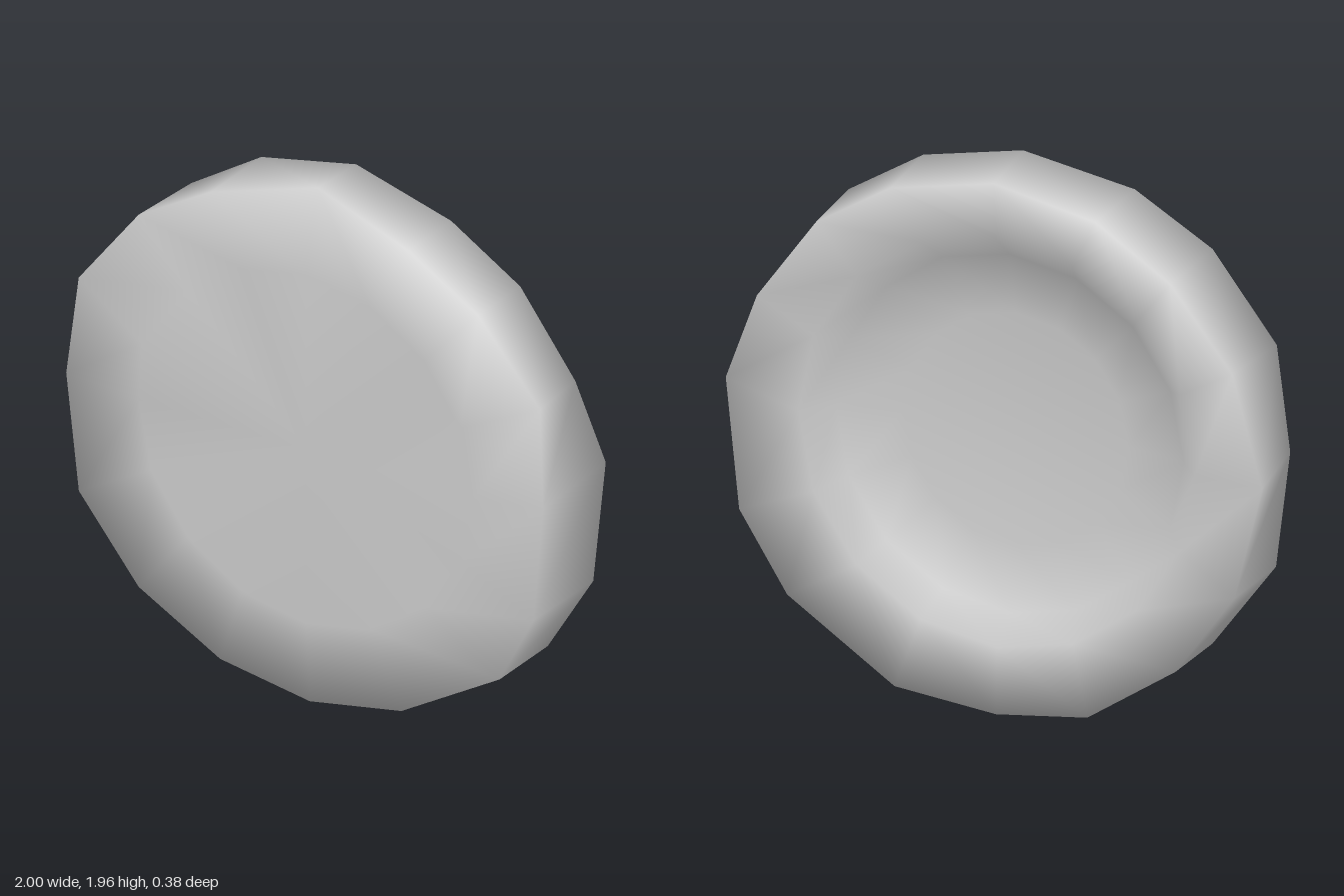
import * as THREE from 'three';

const SIDES = 16, MID = 0.98;

// Uneven hand-shaped outlines, counter-clockwise from +x: x, y, z
const frontEdge = [
  [0.95, 1.02, 0.13], [0.92, 1.38, 0.10], [0.69, 1.69, 0.13], [0.41, 1.86, 0.13],
  [0.01, 1.96, 0.07], [-0.38, 1.86, 0.13], [-0.67, 1.69, 0.13], [-0.91, 1.38, 0.13],
  [-0.96, 1.00, 0.13], [-0.90, 0.57, 0.145], [-0.67, 0.26, 0.13], [-0.35, 0.07, 0.12],
  [0.00, 0.00, 0.105], [0.37, 0.07, 0.11], [0.77, 0.31, 0.12], [0.90, 0.57, 0.11],
];
const backEdge = [
  [1.00, 1.07, -0.19], [0.90, 1.37, -0.155], [0.68, 1.67, -0.155], [0.40, 1.84, -0.16],
  [0.00, 1.93, -0.19], [-0.38, 1.85, -0.19], [-0.66, 1.67, -0.19], [-0.88, 1.37, -0.165],
  [-1.00, 0.98, -0.185], [-0.90, 0.57, -0.19], [-0.67, 0.26, -0.17], [-0.35, 0.05, -0.19],
  [0.00, 0.00, -0.17], [0.37, 0.05, -0.19], [0.78, 0.31, -0.17], [0.95, 0.60, -0.19],
];

// Regular loop of the same number of sides
function ring(radius, z) {
  return Array.from({ length: SIDES }, (_, i) => {
    const a = (i / SIDES) * Math.PI * 2;
    return [radius * Math.cos(a), MID + radius * Math.sin(a), z];
  });
}

// Skin a list of loops and close both ends with a centre point
function skin(loops, startPoint, endPoint) {
  const points = [...loops.flat(), startPoint, endPoint];
  const start = points.length - 2, end = points.length - 1;
  const last = (loops.length - 1) * SIDES;
  const index = [];
  for (let i = 0; i < SIDES; i++) {
    const j = (i + 1) % SIDES;
    index.push(start, i, j, end, last + j, last + i);
    for (let k = 0; k < last; k += SIDES) {
      const a = k + i, b = k + SIDES + i, c = k + SIDES + j, d = k + j;
      index.push(a, b, c, a, c, d);
    }
  }
  const geometry = new THREE.BufferGeometry();
  geometry.setAttribute('position', new THREE.Float32BufferAttribute(points.flat(), 3));
  geometry.setIndex(index);
  geometry.computeVertexNormals();
  return geometry;
}

export function createModel() {
  const group = new THREE.Group();
  group.name = 'dish';

  // Flat face with one raised dent
  const face = ring(0.67, 0.13);
  face[7][2] = 0.19;

  // Rolled rim, steep inner wall, then a shallow slope to the flat floor
  const recess = [ring(0.74, -0.165), ring(0.65, -0.06), ring(0.42, -0.01)];

  const shell = new THREE.Mesh(
    skin([face, frontEdge, backEdge, ...recess], [0, MID, 0.13], [0, MID, -0.01]),
    new THREE.MeshStandardMaterial({ color: 0xcccccc }),
  );
  shell.name = 'dishShell';
  group.add(shell);
  return group;
}
